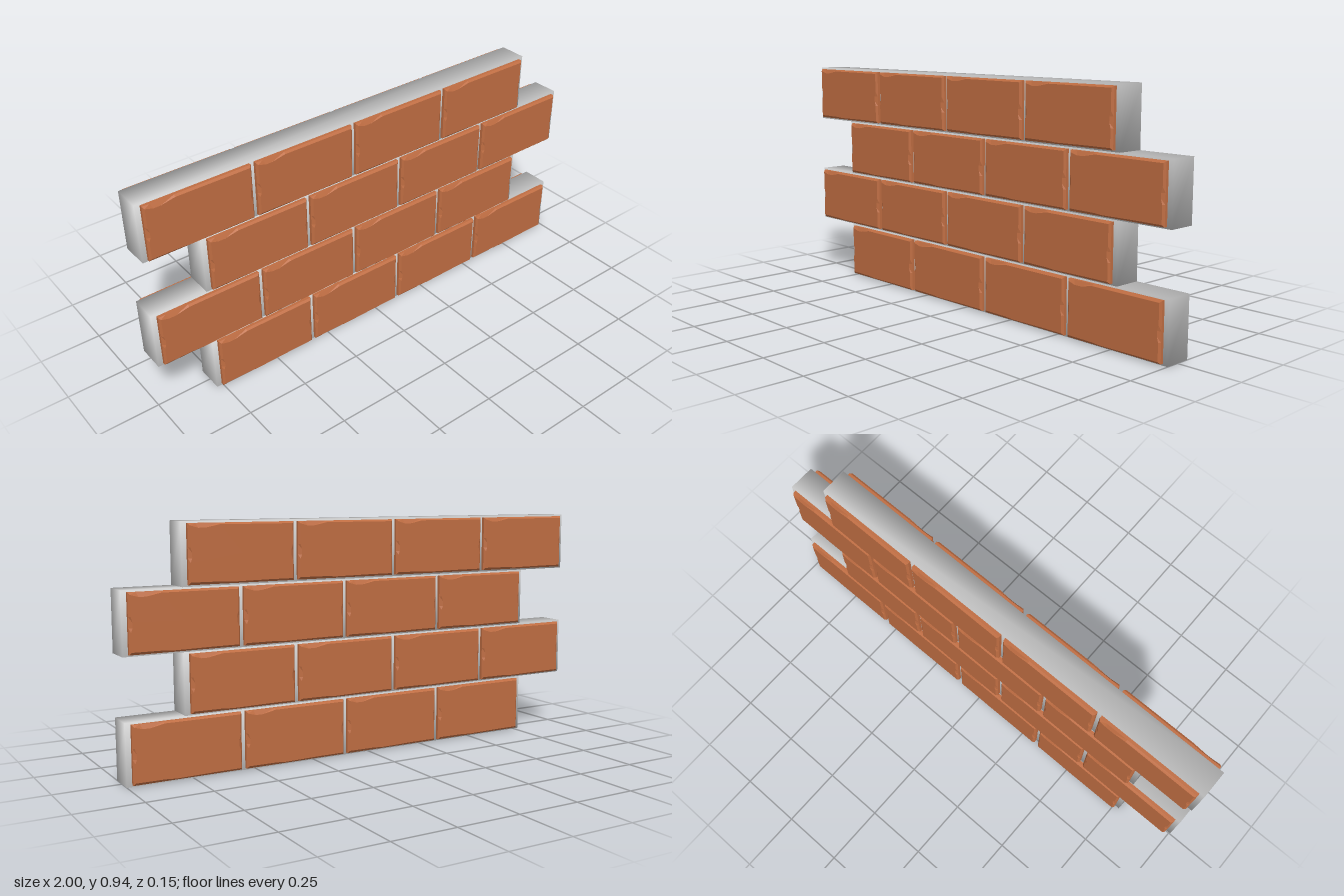
import * as THREE from 'three';
import { mergeVertices } from 'three/addons/utils/BufferGeometryUtils.js';

const ROWS = 4, ROW_H = 0.2338, ROW_W = 1.775, SHIFT = 0.1125;
const MORTAR_Z = 0.055, EDGE_Z = 0.067, FACE_Z = 0.075;

// Brick outline, counter-clockwise: rim x, rim y, then face x, face y (worn edges and chips)
const OUTLINE = [
  [-0.210, -0.110, -0.203, -0.100], [-0.090, -0.110, -0.090, -0.101],
  [-0.050, -0.110, -0.050, -0.104], [0.100, -0.110, 0.100, -0.102],
  [0.210, -0.110, 0.203, -0.102],
  [0.210, -0.035, 0.203, -0.035], [0.210, -0.020, 0.197, -0.015],
  [0.210, 0.005, 0.197, 0.005], [0.210, 0.025, 0.203, 0.025],
  [0.210, 0.110, 0.203, 0.103],
  [-0.090, 0.110, -0.090, 0.104], [-0.150, 0.110, -0.145, 0.093],
  [-0.180, 0.110, -0.172, 0.093], [-0.210, 0.110, -0.203, 0.102],
  [-0.210, 0.025, -0.203, 0.025], [-0.210, 0.010, -0.197, 0.005],
  [-0.210, -0.015, -0.197, -0.015], [-0.210, -0.030, -0.203, -0.030],
];

// Straight sides, worn bevel and flat face, built from three rings
function brickGeometry() {
  const n = OUTLINE.length;
  const rings = [
    OUTLINE.map(([x, y]) => [x, y, MORTAR_Z - 0.005]),
    OUTLINE.map(([x, y]) => [x, y, EDGE_Z]),
    OUTLINE.map(([, , x, y]) => [x, y, FACE_Z]),
  ];
  const index = [];
  for (let r = 0; r < 2; r++) {
    for (let i = 0; i < n; i++) {
      const a = r * n + i, b = r * n + (i + 1) % n;
      index.push(a, b, b + n, a, b + n, a + n);
    }
  }
  for (let i = 0; i < n; i++) index.push(3 * n, 2 * n + i, 2 * n + (i + 1) % n);
  const points = [...rings.flat(2), 0, 0, FACE_Z];
  const geo = new THREE.BufferGeometry();
  geo.setAttribute('position', new THREE.Float32BufferAttribute(points, 3));
  geo.setIndex(index);
  const flat = geo.toNonIndexed();
  flat.computeVertexNormals();
  return flat;
}

// Box with shared corners, so its shading runs smoothly around the edges
function mortarGeometry() {
  const box = new THREE.BoxGeometry(ROW_W, ROW_H, MORTAR_Z * 2);
  box.deleteAttribute('normal');
  box.deleteAttribute('uv');
  const geo = mergeVertices(box);
  geo.computeVertexNormals();
  return geo;
}

export function createModel() {
  const wall = new THREE.Group();
  wall.name = 'brickWall';
  const mortarMat = new THREE.MeshStandardMaterial({ color: 0xcccccc });
  const brickMat = new THREE.MeshStandardMaterial({ color: 0xbf6d42, flatShading: true });
  const mortarGeo = mortarGeometry();
  const brickGeo = brickGeometry();

  for (let r = 0; r < ROWS; r++) {
    // Alternate courses are staggered by half a brick
    const row = new THREE.Group();
    row.name = `course${r + 1}`;
    row.position.set(r % 2 ? -SHIFT : SHIFT, (r + 0.5) * ROW_H, 0);

    const mortar = new THREE.Mesh(mortarGeo, mortarMat);
    mortar.name = 'mortarBar';
    row.add(mortar);

    // The back bricks are the front ones turned half way round
    for (const side of ['front', 'back']) {
      const bricks = new THREE.Group();
      bricks.name = `${side}Bricks`;
      bricks.rotation.y = side === 'back' ? Math.PI : 0;
      for (let i = 0; i < 4; i++) {
        const brick = new THREE.Mesh(brickGeo, brickMat);
        brick.name = 'brick';
        brick.position.x = (i - 1.5) * 0.4385;
        bricks.add(brick);
      }
      row.add(bricks);
    }
    wall.add(row);
  }
  return wall;
}
